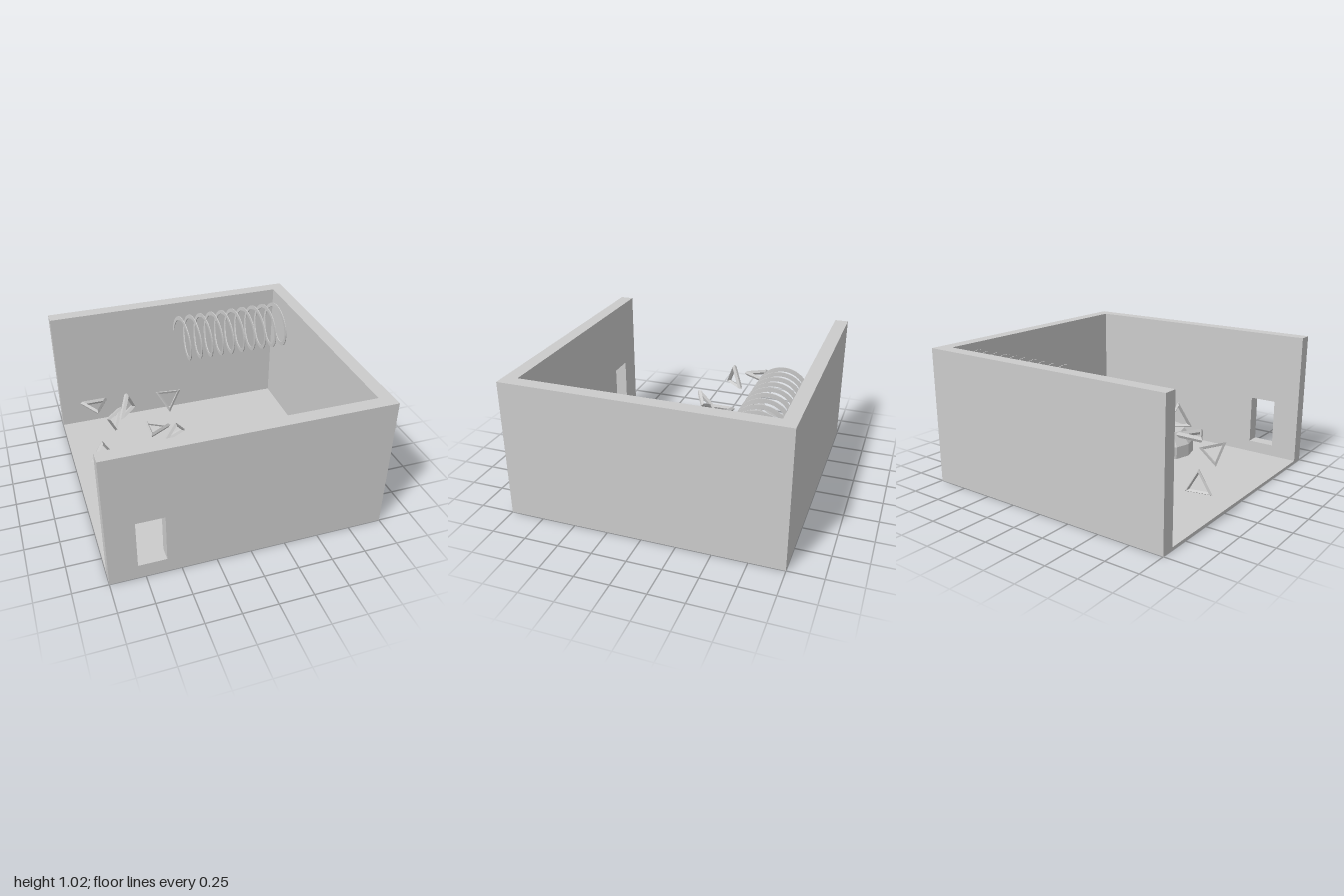
import * as THREE from 'three';
import { ParametricGeometry } from 'three/addons/geometries/ParametricGeometry.js';

const smooth = new THREE.MeshStandardMaterial({ color: 0xcccccc });
const flat = new THREE.MeshStandardMaterial({ color: 0xcccccc, flatShading: true });
const flatDouble = new THREE.MeshStandardMaterial({ color: 0xcccccc, flatShading: true, side: THREE.DoubleSide });

const FLOOR = 0.02;
const TOP = 1.02;

// Corners [x, y, z] of each floating triangle; the first one sets its heading
const TRIANGLES = [
  [[-0.60, 0.05, -0.64], [-0.67, 0.22, -0.57], [-0.53, 0.23, -0.71]],
  [[-0.16, 0.25, -0.48], [-0.24, 0.36, -0.62], [-0.04, 0.40, -0.57]],
  [[-0.16, 0.25, -0.31], [-0.25, 0.09, -0.33], [-0.06, 0.09, -0.41]],
  [[-0.79, 0.54, -0.21], [-0.89, 0.54, -0.39], [-0.69, 0.54, -0.39]],
  [[-0.78, 0.26, -0.23], [-0.89, 0.07, -0.22], [-0.68, 0.11, -0.25]],
  [[-0.57, 0.69, -0.18], [-0.64, 0.52, -0.11], [-0.50, 0.52, -0.26]],
  [[-0.25, 0.37, -0.13], [-0.43, 0.37, -0.23], [-0.43, 0.37, -0.03]],
  [[-0.58, 0.28, 0.10], [-0.76, 0.19, 0.05], [-0.76, 0.33, 0.19]],
  [[0.70, 0.28, 0.00], [0.70, 0.10, 0.10], [0.70, 0.10, -0.10]],
];

function add(parent, name, geometry, material, x = 0, y = 0, z = 0) {
  const mesh = new THREE.Mesh(geometry, material);
  mesh.name = name;
  mesh.position.set(x, y, z);
  parent.add(mesh);
  return mesh;
}

function rectangle(PathType, x0, y0, x1, y1) {
  return new PathType([[x0, y0], [x1, y0], [x1, y1], [x0, y1]].map(p => new THREE.Vector2(...p)));
}

// Front wall with its window opening
function frontWallGeometry() {
  const wall = rectangle(THREE.Shape, -1, FLOOR, 1, TOP);
  wall.holes.push(rectangle(THREE.Path, -0.8, 0.11, -0.6, 0.48));
  return new THREE.ExtrudeGeometry(wall, { depth: 0.1, bevelEnabled: false });
}

// Thin rectangular strip wound around the x axis
function springGeometry() {
  const turns = 10, length = 0.915, outer = 0.186, inner = 0.156, half = 0.003;
  const section = [[-half, inner], [half, inner], [half, outer], [-half, outer], [-half, inner]];
  return new ParametricGeometry((u, v, target) => {
    const [dx, r] = section[Math.round(v * 4)];
    const a = u * turns * Math.PI * 2;
    target.set(u * length + dx, r * Math.sin(a), -r * Math.cos(a));
  }, turns * 40, 4);
}

// Turns a triangle so that its corners point towards the given ones
function placeTriangle(mesh, corners) {
  const [a, b, c] = corners.map(p => new THREE.Vector3(...p));
  mesh.position.copy(a).add(b).add(c).divideScalar(3);
  const normal = b.clone().sub(a).cross(c.clone().sub(a)).normalize();
  const heading = a.clone().sub(mesh.position).normalize();
  const side = normal.clone().cross(heading);
  mesh.quaternion.setFromRotationMatrix(new THREE.Matrix4().makeBasis(heading, side, normal));
}

export function createModel() {
  const model = new THREE.Group();
  model.name = 'room';

  // Open-topped room, with no wall at -x
  const wallHeight = TOP - FLOOR, wallY = (TOP + FLOOR) / 2;
  add(model, 'floor', new THREE.BoxGeometry(2, FLOOR, 2), flat, 0, FLOOR / 2, 0);
  add(model, 'frontWall', frontWallGeometry(), flat, 0, 0, 0.9);
  add(model, 'backWall', new THREE.BoxGeometry(2, wallHeight, 0.1), flat, 0, wallY, -0.95);
  add(model, 'sideWall', new THREE.BoxGeometry(0.1, wallHeight, 1.8), flat, 0.95, wallY, 0);

  // Spring running out from the side wall
  add(model, 'spring', springGeometry(), flatDouble, 0, 0.79, -0.705);

  // Twelve-sided pedestal with a ball on top
  const profile = [[0, 0], [0.25, 0], [0.25, 0.1], [0.177, 0.2], [0, 0.2]].map(p => new THREE.Vector2(...p));
  add(model, 'pedestal', new THREE.LatheGeometry(profile, 12), flat, 0, FLOOR, 0.505);
  add(model, 'ball', new THREE.SphereGeometry(0.1, 32, 16), smooth, 0.01, 0.32, 0.5);

  // Floating triangular rings
  const triangles = new THREE.Group();
  triangles.name = 'triangles';
  model.add(triangles);
  const ring = new THREE.TorusGeometry(0.1, 0.02, 4, 3);
  TRIANGLES.forEach((corners, i) => placeTriangle(add(triangles, `triangle${i + 1}`, ring, flat), corners));

  return model;
}
